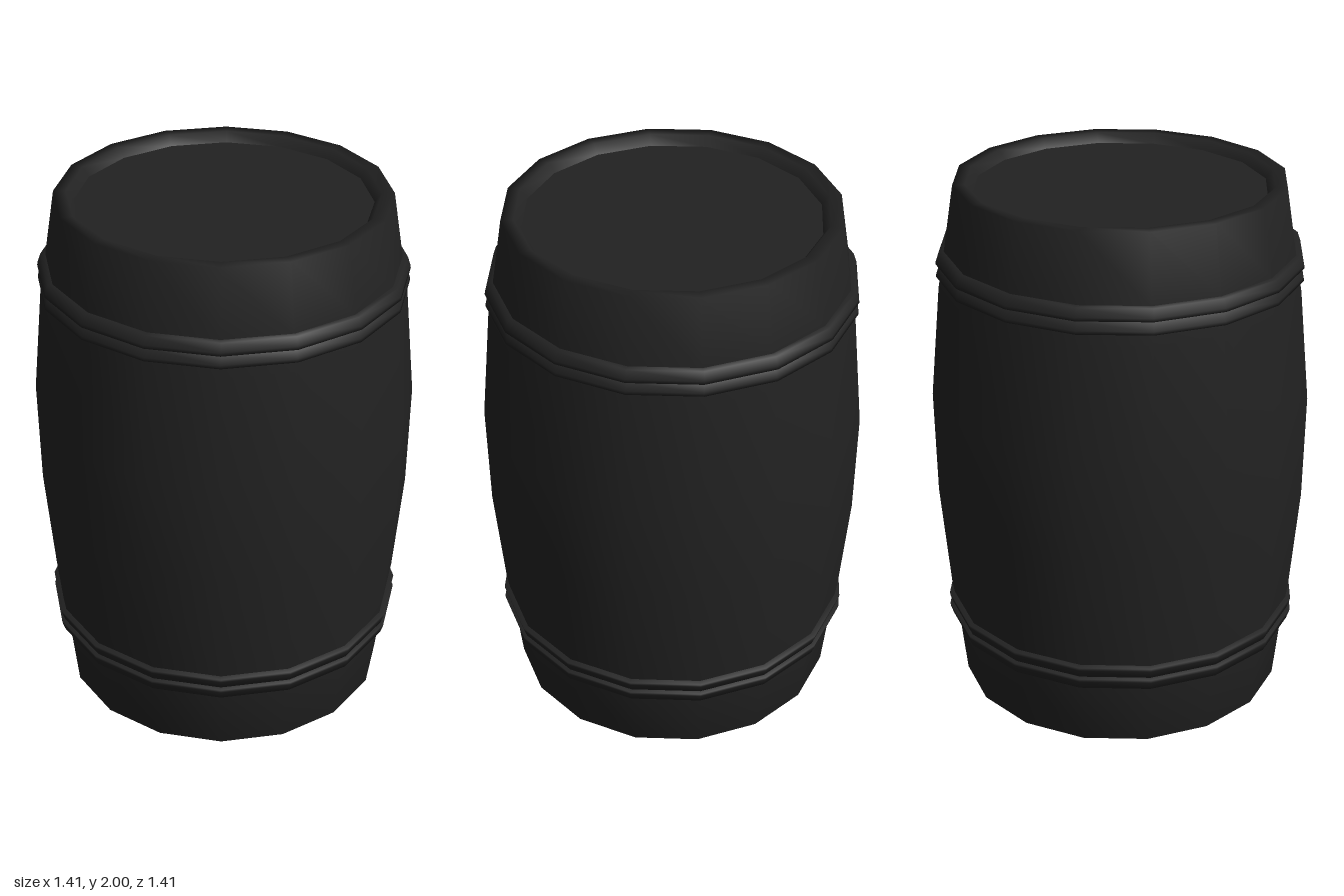
import * as THREE from 'three';

const SIDES = 16;
const TURN = 0.072; // slight twist of the sixteen-sided section

export function createModel() {
  const model = new THREE.Group();
  model.name = 'barrel';

  const charcoal = new THREE.MeshStandardMaterial({ color: 0x222222 });
  charcoal.name = 'charcoal';

  const add = (name, geometry, parent = model) => {
    const mesh = new THREE.Mesh(geometry, charcoal);
    mesh.name = name;
    parent.add(mesh);
    return mesh;
  };
  const lathe = (points) => new THREE.LatheGeometry(
    points.map(([r, y]) => new THREE.Vector2(r, y)), SIDES, TURN);

  // Bulging shell with a rim at each end
  add('shell', lathe([
    [0.545, 0.035], [0.57, 0], [0.615, 0], [0.642, 0.25], [0.665, 0.4],
    [0.7, 0.8], [0.707, 1.2], [0.668, 1.62], [0.645, 1.75],
    [0.605, 2], [0.56, 2], [0.535, 1.965],
  ]));

  // Recessed flat ends
  const lid = add('lid', new THREE.CircleGeometry(0.535, SIDES, TURN));
  lid.rotation.x = -Math.PI / 2;
  lid.position.y = 1.965;
  const base = add('base', new THREE.CircleGeometry(0.545, SIDES, -TURN));
  base.rotation.x = Math.PI / 2;
  base.position.y = 0.035;

  // Double-ridged hoops: each ridge flares towards the middle of the barrel
  const ridge = [[0.64, 0], [0.676, 0.006], [0.674, 0.018], [0.663, 0.05], [0.635, 0.053]];
  for (const [name, upper] of [['upperHoop', true], ['lowerHoop', false]]) {
    const hoop = new THREE.Group();
    hoop.name = name;
    model.add(hoop);
    [1.654, 1.702].forEach((y, i) => {
      const points = ridge.map(([r, h]) => [r, y + h]);
      // The lower hoop mirrors the upper one about the middle
      const profile = upper ? points : points.map(([r, h]) => [r, 2.005 - h]).reverse();
      add(name + 'Ridge' + (i + 1), lathe(profile), hoop);
    });
  }

  return model;
}
